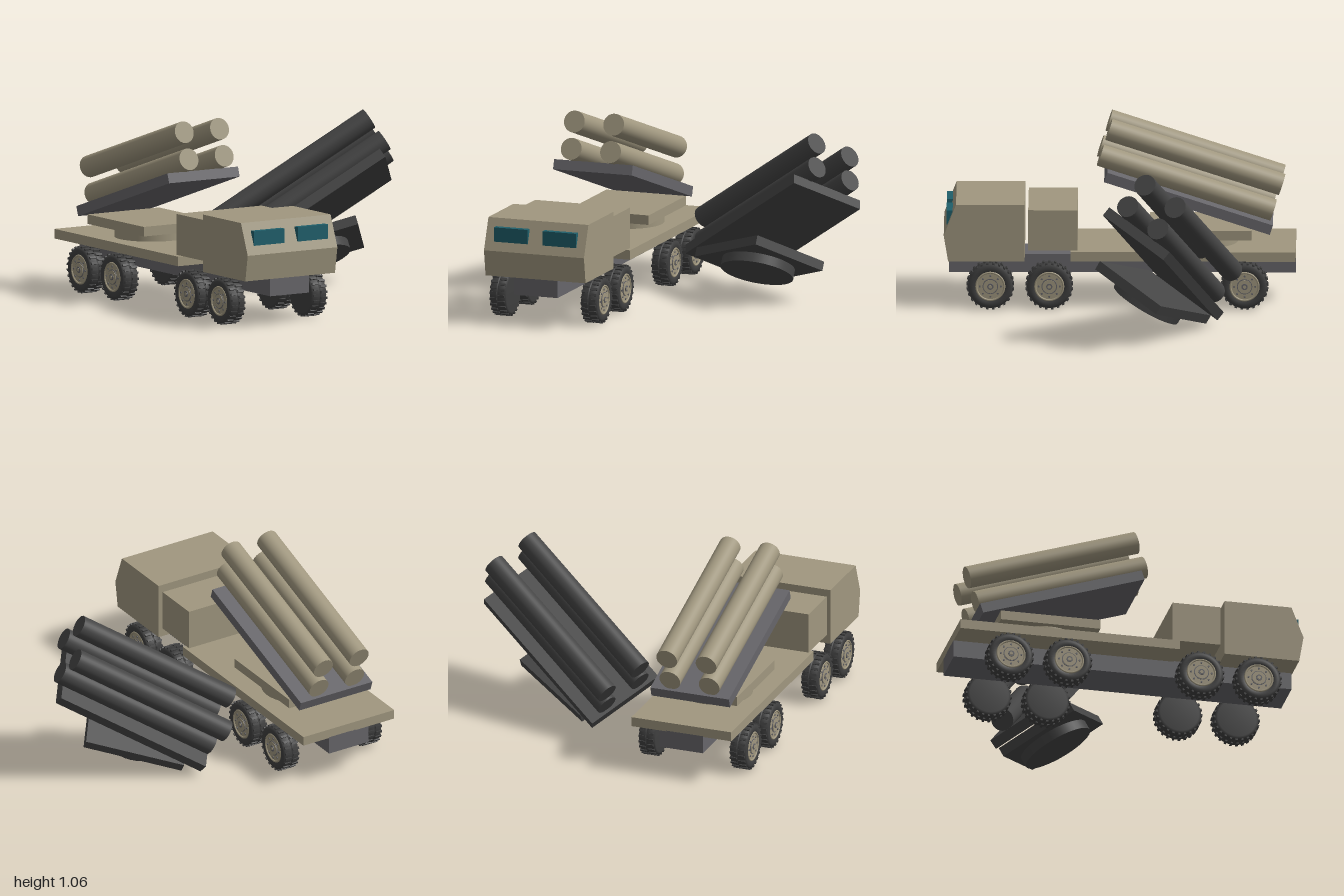
import * as THREE from 'three';

const material = (name, color, extra = {}) => {
  const m = new THREE.MeshStandardMaterial({ color, ...extra });
  m.name = name;
  return m;
};

export function createModel() {
  const tan = material('tan paint', 0xa0977f);
  const gray = material('gray metal', 0x67666a);
  const dark = material('dark metal', 0x454545);
  const rubber = material('tyre rubber', 0x3f3f3f);
  const glass = material('teal glass', 0x1f5f6b);

  const model = new THREE.Group();
  model.name = 'launcherTruck';

  const add = (parent, name, geometry, mat, x = 0, y = 0, z = 0) => {
    const mesh = new THREE.Mesh(geometry, mat);
    mesh.name = name;
    mesh.position.set(x, y, z);
    parent.add(mesh);
    return mesh;
  };
  const box = (parent, name, mat, w, h, d, x, y, z) =>
    add(parent, name, new THREE.BoxGeometry(w, h, d), mat, x, y, z);

  // Truck, built about its own centre line
  const truck = new THREE.Group();
  truck.name = 'truck';
  truck.position.x = -0.59;
  model.add(truck);

  box(truck, 'chassis', gray, 0.265, 0.105, 1.97, 0, 0.2325, -0.015);
  box(truck, 'deck', tan, 0.61, 0.055, 1.28, 0, 0.308, -0.36);
  box(truck, 'equipmentBox', tan, 0.58, 0.235, 0.28, 0, 0.458, 0.38);

  // Cab: side profile extruded across the width (shape x becomes z)
  const profile = new THREE.Shape([
    [0.54, 0.28], [0.975, 0.28], [1.0, 0.43], [0.93, 0.61], [0.54, 0.61],
  ].map(([z, y]) => new THREE.Vector2(-z, y)).reverse());
  const cabGeometry = new THREE.ExtrudeGeometry(profile, { depth: 0.61, bevelEnabled: false });
  cabGeometry.translate(0, 0, -0.305);
  cabGeometry.rotateY(Math.PI / 2);
  add(truck, 'cab', cabGeometry, tan);

  // Upright windscreen panes standing proud of the sloped front
  for (const s of [-1, 1]) box(truck, 'windscreen', glass, 0.205, 0.083, 0.035, s * 0.148, 0.523, 0.967);

  // Wheels: tyre, tread lugs and a detailed hub on the outer side (+x)
  const tyreGeometry = new THREE.LatheGeometry([
    [0, -0.05], [0.112, -0.05], [0.127, -0.042], [0.13, -0.006], [0.124, -0.004],
    [0.124, 0.004], [0.13, 0.006], [0.127, 0.042], [0.112, 0.05], [0.088, 0.05], [0.083, 0.04], [0, 0.04],
  ].map(([r, y]) => new THREE.Vector2(r, y)), 40);
  tyreGeometry.rotateZ(-Math.PI / 2);
  const lugGeometry = new THREE.BoxGeometry(0.04, 0.01, 0.013);
  const disc = (r, h, n = 28) => new THREE.CylinderGeometry(r, r, h, n).rotateZ(-Math.PI / 2);

  const makeWheel = () => {
    const wheel = new THREE.Group();
    wheel.name = 'wheel';
    add(wheel, 'tyre', tyreGeometry, rubber);
    for (let i = 0; i < 24; i++) {
      for (const s of [-1, 1]) {
        const a = (i + (s > 0 ? 0.5 : 0)) / 24 * Math.PI * 2;
        const lug = add(wheel, 'treadLug', lugGeometry, rubber,
          s * 0.025, 0.13 * Math.cos(a), 0.13 * Math.sin(a));
        lug.rotation.x = a;
      }
    }
    add(wheel, 'hubPlate', disc(0.083, 0.01), tan, 0.04);
    add(wheel, 'hubRing', new THREE.TorusGeometry(0.08, 0.006, 8, 32).rotateY(Math.PI / 2), tan, 0.045);
    add(wheel, 'hubCollar', disc(0.044, 0.01), gray, 0.043);
    add(wheel, 'hubBoss', disc(0.039, 0.016), tan, 0.043);
    add(wheel, 'hubCap', disc(0.018, 0.024, 16), gray, 0.043);
    add(wheel, 'hubCentre', disc(0.01, 0.028, 12), tan, 0.043);
    for (let i = 0; i < 8; i++) {
      const a = i / 8 * Math.PI * 2;
      add(wheel, 'wheelNut', disc(0.006, 0.01, 6), gray, 0.044, 0.06 * Math.cos(a), 0.06 * Math.sin(a));
    }
    return wheel;
  };
  for (const z of [0.735, 0.4, -0.37, -0.71]) {
    for (const s of [-1, 1]) {
      const wheel = makeWheel();
      wheel.position.set(s * 0.278, 0.139, z);
      if (s < 0) wheel.rotation.y = Math.PI;
      truck.add(wheel);
    }
  }

  // Launcher: turntable, base plate and a tilted pod with four canisters
  const makeLauncher = (name, bodyMat, plateMat) => {
    const launcher = new THREE.Group();
    launcher.name = name;
    add(launcher, 'turntable', new THREE.CylinderGeometry(0.21, 0.21, 0.055, 40), bodyMat, 0, 0.0275, 0);
    box(launcher, 'basePlate', bodyMat, 0.485, 0.055, 0.58, 0, 0.0825, 0);

    const pod = new THREE.Group();
    pod.name = 'canisterPod';
    pod.position.set(0, 0.295, 0.06);
    pod.rotation.x = -Math.PI / 10;
    launcher.add(pod);
    box(pod, 'podPlate', plateMat, 0.48, 0.058, 0.99, 0, -0.029, 0);
    const tube = new THREE.CylinderGeometry(0.063, 0.063, 1.034, 32).rotateX(Math.PI / 2);
    for (const x of [-0.12, 0.12]) {
      for (const y of [0.06, 0.217]) add(pod, 'canister', tube, bodyMat, x, y, 0.04);
    }
    return launcher;
  };

  const mounted = makeLauncher('mountedLauncher', tan, gray);
  mounted.position.set(0, 0.335, -0.46);
  truck.add(mounted);

  // Second launcher lying tilted beside the truck
  const loose = makeLauncher('looseLauncher', dark, dark);
  loose.position.set(0.32, 0.167, -0.152);
  loose.rotation.set(-Math.PI / 6, THREE.MathUtils.degToRad(56), 0);
  model.add(loose);

  return model;
}
